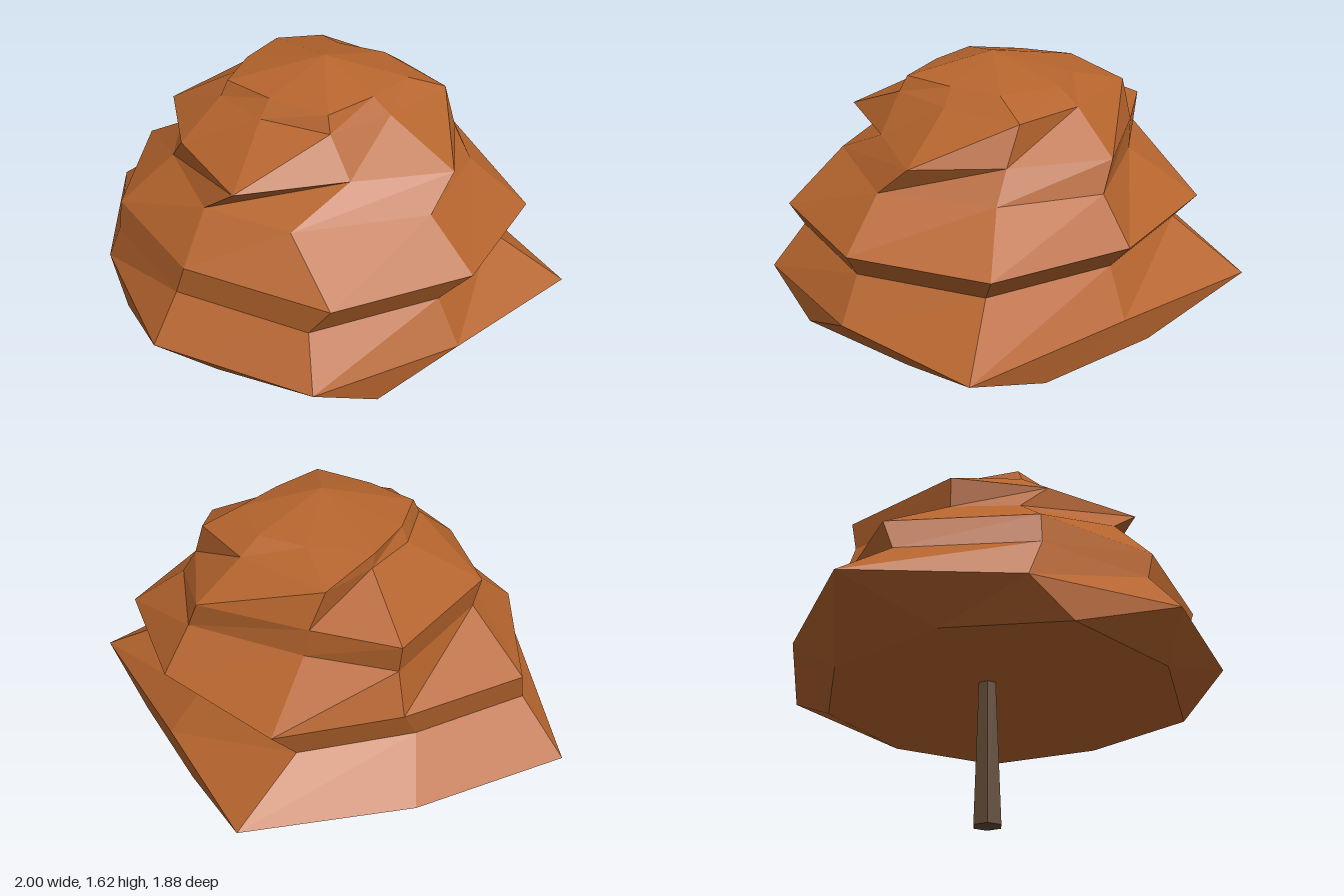
import * as THREE from 'three';

// Rims of the foliage tiers: nine [x, z] corners running back, left, front, right
const HEM = [[-0.36, -0.62], [-0.66, -0.2], [-0.62, 0.35], [-0.32, 0.75], [0.25, 0.76], [0.81, 0.46], [0.84, -0.08], [0.65, -0.58], [0.16, -0.75]];
const SKIRT = [[-0.31, -0.94], [-0.73, -0.4], [-1, 0.21], [-0.5, 0.69], [0.1, 0.94], [0.73, 0.73], [0.94, 0.15], [1, -0.49], [0.31, -0.72]];
const MIDDLE = [[-0.29, -0.72], [-0.58, -0.3], [-0.78, 0.2], [-0.4, 0.67], [0.14, 0.8], [0.71, 0.62], [0.94, 0.1], [0.81, -0.45], [0.3, -0.72]];
const WAIST = [[-0.2, -0.44], [-0.53, -0.28], [-0.48, 0.26], [-0.29, 0.47], [0.1, 0.65], [0.45, 0.55], [0.74, 0.11], [0.6, -0.33], [0.28, -0.59]];
const UPPER = [[-0.22, -0.43], [-0.55, -0.29], [-0.5, 0.28], [-0.17, 0.52], [0.26, 0.65], [0.5, 0.29], [0.73, -0.03], [0.52, -0.32], [0.22, -0.59]];
const COLLAR = [[-0.25, -0.37], [-0.27, -0.13], [-0.25, 0.11], [-0.13, 0.34], [0.12, 0.37], [0.39, 0.28], [0.45, 0.01], [0.45, -0.33], [0.16, -0.4]];
const CAP = [[-0.05, -0.25], [-0.27, -0.11], [-0.22, 0.11], [-0.12, 0.31], [0.11, 0.31], [0.36, 0.26], [0.38, 0.03], [0.37, -0.19], [0.15, -0.31]];

// Joins the rims into one closed, faceted shell
function foliageGeometry() {
  const rings = [
    [0.57, HEM],
    [0.715, SKIRT],
    // The neck above the skirt is a smaller, shifted middle rim
    [0.89, MIDDLE.map(([x, z]) => [x * 0.93 - 0.04, z * 0.93 + 0.06])],
    [1.02, MIDDLE],
    [1.2, WAIST],
    [1.32, UPPER],
    [1.47, COLLAR],
    [1.53, CAP],
  ];
  const n = HEM.length;
  const positions = [];
  const index = [];
  for (const [y, corners] of rings) {
    for (const [x, z] of corners) positions.push(x, y, z);
  }
  const under = rings.length * n;
  const apex = under + 1;
  positions.push(0, 0.62, 0, 0.12, 1.615, 0.02);

  const last = (rings.length - 1) * n;
  for (let i = 0; i < n; i++) {
    const j = (i + 1) % n;
    for (let r = 0; r < last; r += n) {
      const a = r + i, b = r + j;
      index.push(a, b, b + n, a, b + n, a + n);
    }
    index.push(under, j, i);
    index.push(apex, last + i, last + j);
  }

  const indexed = new THREE.BufferGeometry();
  indexed.setAttribute('position', new THREE.Float32BufferAttribute(positions, 3));
  indexed.setIndex(index);
  const geometry = indexed.toNonIndexed();
  geometry.computeVertexNormals();
  return geometry;
}

export function createModel() {
  const leaf = new THREE.MeshStandardMaterial({ color: 0xb5642d, flatShading: true });
  leaf.name = 'autumn leaf';
  const bark = new THREE.MeshStandardMaterial({ color: 0x5e4733, flatShading: true });
  bark.name = 'bark';

  const tree = new THREE.Group();
  tree.name = 'tree';

  // Layered crown
  const foliage = new THREE.Mesh(foliageGeometry(), leaf);
  foliage.name = 'foliage';
  tree.add(foliage);

  // Tapered six-sided trunk, sunk into the crown
  const trunk = new THREE.Mesh(new THREE.CylinderGeometry(0.038, 0.064, 0.7, 6), bark);
  trunk.name = 'trunk';
  trunk.position.set(-0.04, 0.35, 0.045);
  trunk.rotation.y = 0.25;
  tree.add(trunk);

  return tree;
}
